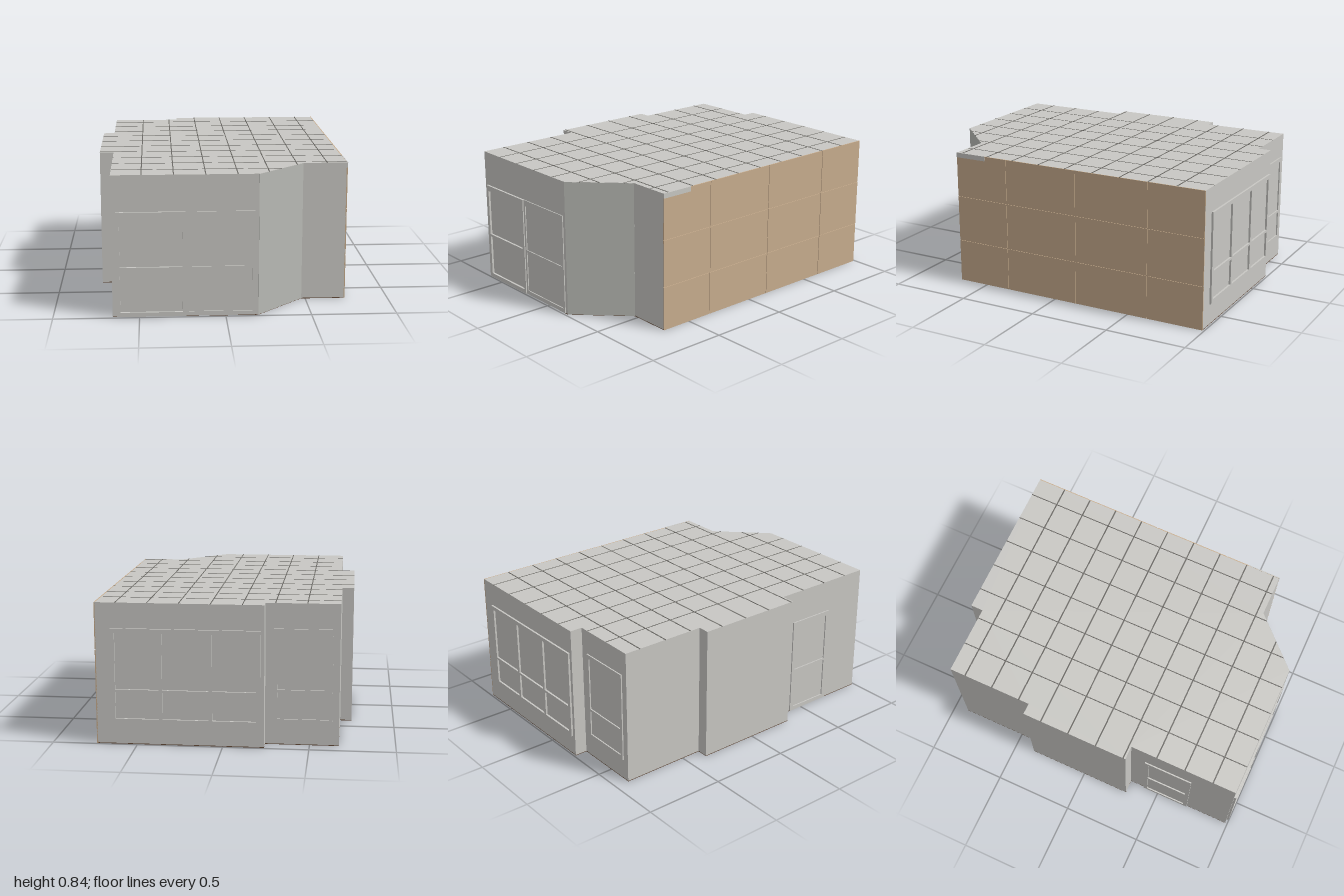
import * as THREE from 'three';

const H = 0.84;
// Floor plan corners as [x, z]
const PLAN = [
  [-0.655, 0.985], [0.19, 0.985], [0.475, 0.695], [0.736, 0.695],
  [0.736, -0.988], [-0.24, -0.988], [-0.24, -0.91], [-0.67, -0.91],
  [-0.67, -0.375], [-0.74, -0.375], [-0.74, 0.305], [-0.655, 0.305],
];

const mat = (name, color) => {
  const m = new THREE.MeshStandardMaterial({ color });
  m.name = name;
  return m;
};

export function createModel() {
  const group = new THREE.Group();
  group.name = 'building';
  const grey = mat('light grey', 0xc8c7c3);
  const cornerGrey = mat('corner grey', 0xb8b9b4);
  const tan = mat('tan panel', 0xc8ad8e);
  const brown = mat('dark brown floor', 0x664c3a);
  const seam = mat('roof seam', 0x6a6864);

  const add = (name, geo, material, parent = group) => {
    const mesh = new THREE.Mesh(geo, material);
    mesh.name = name;
    parent.add(mesh);
    return mesh;
  };
  const box = (name, material, x0, x1, y0, y1, z0, z1) => {
    const mesh = add(name, new THREE.BoxGeometry(x1 - x0, y1 - y0, z1 - z0), material);
    mesh.position.set((x0 + x1) / 2, (y0 + y1) / 2, (z0 + z1) / 2);
    return mesh;
  };

  // Slab with the floor plan outline, from y0 to y1
  const slab = (name, material, y0, y1) => {
    const shape = new THREE.Shape(PLAN.map(([x, z]) => new THREE.Vector2(x, -z)));
    const geo = new THREE.ExtrudeGeometry(shape, { depth: y1 - y0, bevelEnabled: false });
    geo.rotateX(-Math.PI / 2).translate(0, y0, 0);
    return add(name, geo, material);
  };
  slab('floor', brown, 0, 0.004);
  slab('walls', grey, 0.004, H - 0.001);

  // Angled corner wall face
  const a = PLAN[1], b = PLAN[2];
  const length = Math.hypot(b[0] - a[0], b[1] - a[1]);
  const corner = add('cornerWall', new THREE.BoxGeometry(length, H - 0.005, 0.003), cornerGrey);
  corner.position.set((a[0] + b[0]) / 2, H / 2, (a[1] + b[1]) / 2);
  corner.rotation.y = Math.atan2(a[1] - b[1], b[0] - a[0]);

  // Tan cladding panels with narrow grooves
  const cols = [-0.988, -0.63, -0.15, 0.335, 0.695];
  const rows = [0, 0.27, 0.56, H - 0.001];
  box('claddingBacking', tan, 0.734, 0.737, 0, H - 0.001, -0.988, 0.695);
  const g = 0.003;
  for (let i = 0; i < 4; i++) {
    for (let j = 0; j < 3; j++) {
      box('claddingPanel', tan, 0.735, 0.741,
        rows[j] + (j > 0 ? g : 0), rows[j + 1] - (j < 2 ? g : 0),
        cols[i] + (i > 0 ? g : 0), cols[i + 1] - (i < 3 ? g : 0));
    }
  }
  box('claddingTopTrim', grey, 0.736, 0.742, 0.81, H, 0.49, 0.696);

  // Roof seams, clipped to the plan: axis 0 runs along z, axis 1 along x
  const span = (axis, value) => {
    const hits = [];
    PLAN.forEach((p, i) => {
      const q = PLAN[(i + 1) % PLAN.length];
      if ((p[axis] - value) * (q[axis] - value) < 0) {
        const t = (value - p[axis]) / (q[axis] - p[axis]);
        hits.push(p[1 - axis] + t * (q[1 - axis] - p[1 - axis]));
      }
    });
    return [Math.min(...hits), Math.max(...hits)];
  };
  for (let i = 0; i < 7; i++) {
    const x = -0.48 + i * 0.183;
    const [z0, z1] = span(0, x);
    box('roofSeamLong', seam, x - 0.003, x + 0.003, H - 0.004, H, z0, z1);
  }
  for (let i = 0; i < 10; i++) {
    const z = -0.81 + i * 0.1833;
    const [x0, x1] = span(1, z);
    box('roofSeamCross', seam, x0, x1, H - 0.004, H, z - 0.004, z + 0.004);
  }

  // Framed opening: a plate with pane holes, u along the wall, v up
  const rect = (path, u0, v0, u1, v1) => {
    path.moveTo(u0, v0).lineTo(u1, v0).lineTo(u1, v1).lineTo(u0, v1).closePath();
    return path;
  };
  const frame = (name, size, us, vs, depth, place) => {
    const shape = rect(new THREE.Shape(), ...size);
    for (const [u0, u1] of us) {
      for (const [v0, v1] of vs) shape.holes.push(rect(new THREE.Path(), u0, v0, u1, v1));
    }
    const geo = new THREE.ExtrudeGeometry(shape, { depth, bevelEnabled: false });
    const mesh = add(name, geo, grey);
    mesh.position.set(place.x || 0, 0, place.z || 0);
    mesh.rotation.y = place.turn || 0;
  };

  // Front sliding door
  const doorRows = [[0.03, 0.285], [0.3, 0.59]];
  frame('frontDoorOuterLeaf', [-0.63, 0.004, -0.23, 0.625], [[-0.61, -0.25]], doorRows, 0.013, { z: 0.985 });
  frame('frontDoorInnerLeaf', [-0.23, 0.004, 0.17, 0.625], [[-0.215, 0.155]], doorRows, 0.006, { z: 0.985 });

  // Rear windows (u is mirrored x)
  const back = Math.PI;
  frame('rearWideWindow', [-0.65, 0.13, 0.22, 0.69],
    [[-0.625, -0.37], [-0.35, -0.08], [-0.06, 0.195]],
    [[0.155, 0.315], [0.33, 0.665]], 0.012, { z: -0.988, turn: back });
  frame('rearNarrowWindow', [0.29, 0.13, 0.63, 0.69], [[0.31, 0.61]],
    [[0.155, 0.315], [0.33, 0.665]], 0.008, { z: -0.91, turn: back });

  // Side door on the left-hand recess (u is z)
  frame('sideDoor', [0.4, 0.004, 0.71, 0.635], [[0.425, 0.685]],
    [[0.03, 0.285], [0.3, 0.605]], 0.008, { x: -0.655, turn: -Math.PI / 2 });

  return group;
}
